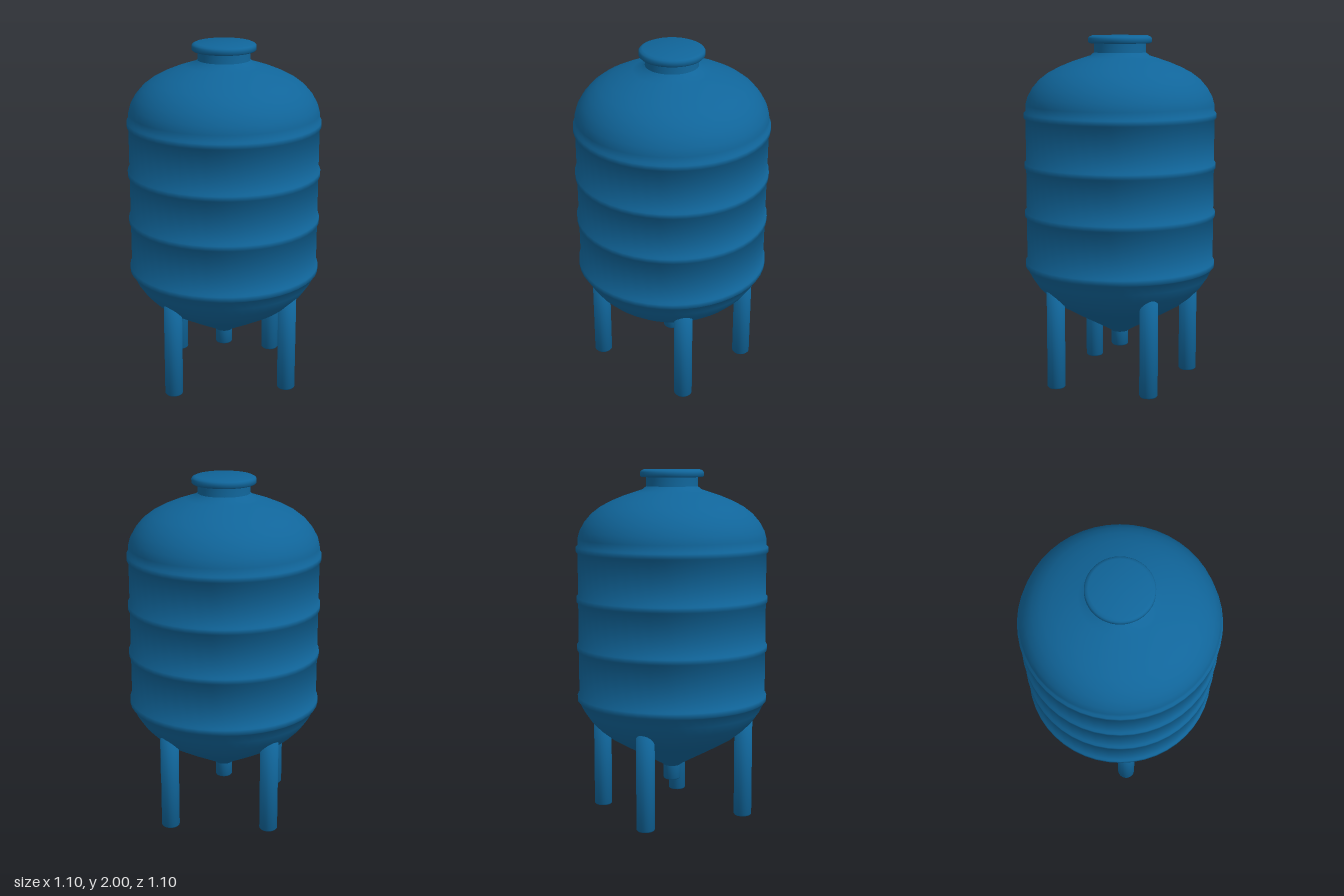
import * as THREE from 'three';

const steel = new THREE.MeshStandardMaterial({ color: 0x10659a });
steel.name = 'blue steel';

// Lathe whose normals weigh both neighbouring profile segments equally
function turned(name, profile, segments) {
  const pts = profile.map(([r, y]) => new THREE.Vector2(r, y));
  const geo = new THREE.LatheGeometry(pts, segments);
  const faces = pts.slice(1).map((p, i) =>
    new THREE.Vector2(p.y - pts[i].y, pts[i].x - p.x).normalize());
  const normals = pts.map((p, i) => {
    const n = new THREE.Vector2();
    if (faces[i - 1]) n.add(faces[i - 1]);
    if (faces[i]) n.add(faces[i]);
    return n.normalize();
  });
  const attr = geo.attributes.normal;
  for (let s = 0; s <= segments; s++) {
    const a = (s / segments) * Math.PI * 2;
    normals.forEach((n, i) =>
      attr.setXYZ(s * pts.length + i, n.x * Math.sin(a), n.y, n.x * Math.cos(a)));
  }
  const mesh = new THREE.Mesh(geo, steel);
  mesh.name = name;
  return mesh;
}

export function createModel() {
  const model = new THREE.Group();
  model.name = 'storageTank';

  // Raised hoops around the straight wall
  const hoops = [0.69, 0.985, 1.265, 1.55].flatMap((y) => [
    [0.541, y - 0.022], [0.551, y - 0.014], [0.551, y + 0.014], [0.541, y + 0.022],
  ]);

  // Funnel, hooped wall and dome in one shell
  model.add(turned('tankShell', [
    [0.045, 0.272], [0.065, 0.288], [0.127, 0.323], [0.245, 0.388], [0.365, 0.458],
    [0.425, 0.505], [0.475, 0.556], [0.515, 0.615],
    ...hoops,
    [0.54, 1.61], [0.528, 1.655], [0.5, 1.705], [0.46, 1.752], [0.41, 1.79],
    [0.35, 1.822], [0.28, 1.851], [0.215, 1.873], [0.168, 1.888], [0.148, 1.905],
  ], 48));

  // Neck and flanged lid
  model.add(turned('neck', [[0.15, 1.885], [0.147, 1.91], [0.147, 1.97]], 48));
  model.add(turned('lid', [
    [0.14, 1.957], [0.174, 1.957], [0.181, 1.964], [0.181, 1.985],
    [0.175, 1.993], [0.16, 2], [0, 2],
  ], 48));

  // Drain spout
  model.add(turned('drainSpout', [
    [0, 0.19], [0.044, 0.19], [0.049, 0.197], [0.049, 0.29],
  ], 24));

  // Four legs, slightly unevenly spaced
  const legs = [[0.417, -0.095], [0.168, 0.397], [-0.417, 0.093], [-0.05, -0.421]];
  for (const [x, z] of legs) {
    const leg = turned('leg', [
      [0, 0], [0.046, 0], [0.052, 0.008], [0.052, 0.6], [0, 0.6],
    ], 24);
    leg.position.set(x, 0, z);
    model.add(leg);
  }
  return model;
}
